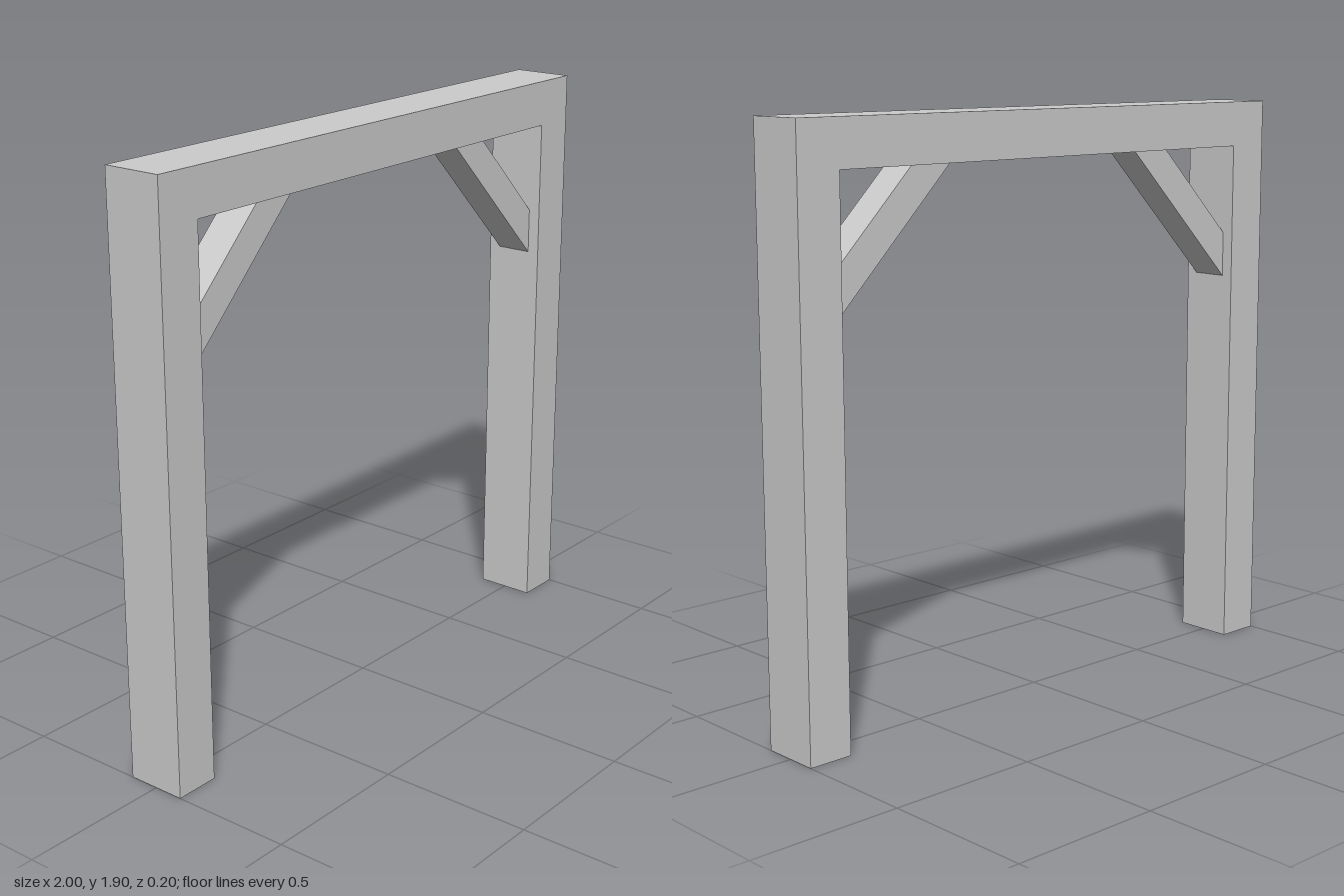
import * as THREE from 'three';

const HEIGHT = 1.9, HALF = 1, BEAM = 0.15, DEPTH = 0.2, BRACE_DEPTH = 0.12;

// Extrude an outline of [x, y] points, centred on z = 0
function slab(name, points, depth, material) {
  const shape = new THREE.Shape(points.map(([x, y]) => new THREE.Vector2(x, y)));
  const geometry = new THREE.ExtrudeGeometry(shape, { depth, bevelEnabled: false });
  geometry.translate(0, 0, -depth / 2);
  const mesh = new THREE.Mesh(geometry, material);
  mesh.name = name;
  return mesh;
}

export function createModel() {
  const group = new THREE.Group();
  group.name = 'timberFrame';
  const material = new THREE.MeshStandardMaterial({ color: 0xcccccc });
  const inner = HALF - BEAM, under = HEIGHT - BEAM;

  // Two posts and the top beam, flush as one portal
  group.add(slab('postsAndBeam', [
    [-HALF, 0], [-inner, 0], [-inner, under], [inner, under],
    [inner, 0], [HALF, 0], [HALF, HEIGHT], [-HALF, HEIGHT],
  ], DEPTH, material));

  // Diagonal knee braces, thinner than the posts, cut flush at both ends
  for (const [side, s] of [['left', 1], ['right', -1]]) {
    group.add(slab(side + 'Brace', [
      [s * inner, 1.3], [s * inner, 1.45], [s * 0.55, under], [s * 0.4, under],
    ], BRACE_DEPTH, material));
  }
  return group;
}
